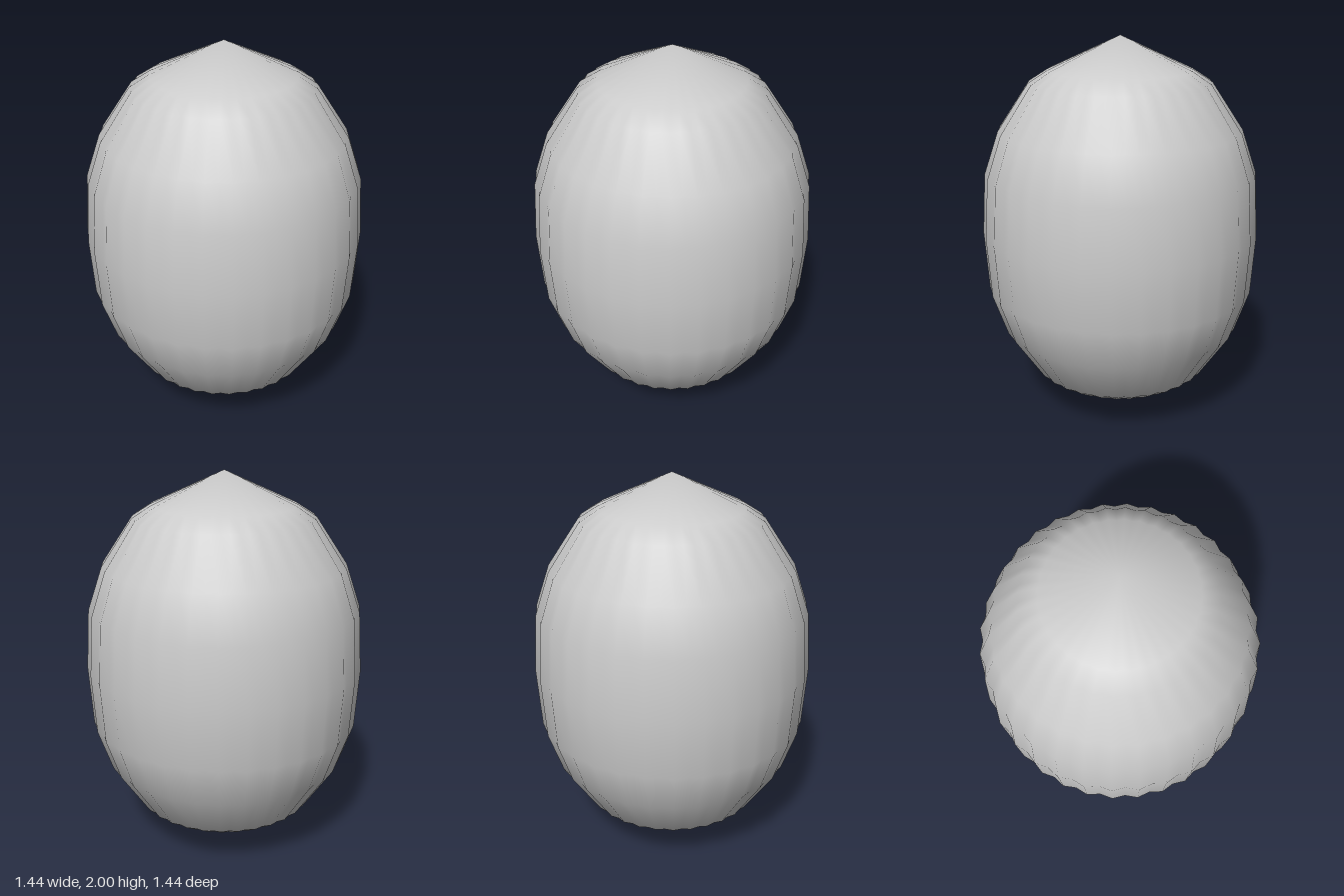
import * as THREE from 'three';
import { mergeVertices } from 'three/addons/utils/BufferGeometryUtils.js';

const RIBS = 32;
const VALLEY = 0.975; // groove radius relative to ridge radius

export function createModel() {
  const group = new THREE.Group();

  // Half profile from the equator up to the tip: [ridge radius, height above equator]
  const upper = [[0.72, 0], [0.7, 0.31], [0.625, 0.53], [0.465, 0.77], [0.37, 0.83], [0, 1]];
  const lower = upper.slice(1).reverse().map(([r, h]) => [r, -h]);
  const profile = [...lower, ...upper].map(([r, h]) => new THREE.Vector2(r, 1 + h));

  // Revolve, then pull every second column inward to make the grooves
  const lathe = new THREE.LatheGeometry(profile, RIBS * 2);
  const pos = lathe.attributes.position;
  for (let i = 0; i < pos.count; i++) {
    const column = Math.floor(i / profile.length);
    const k = column % 2 ? VALLEY : 1;
    pos.setXYZ(i, pos.getX(i) * k, pos.getY(i), pos.getZ(i) * k);
  }

  // Weld the seam and the tips so the shading is smooth all round
  lathe.deleteAttribute('uv');
  lathe.deleteAttribute('normal');
  const geometry = mergeVertices(lathe, 1e-4);
  geometry.computeVertexNormals();

  const body = new THREE.Mesh(geometry, new THREE.MeshStandardMaterial({ color: 0xcccccc }));
  body.name = 'ribbedBody';
  group.add(body);
  return group;
}
